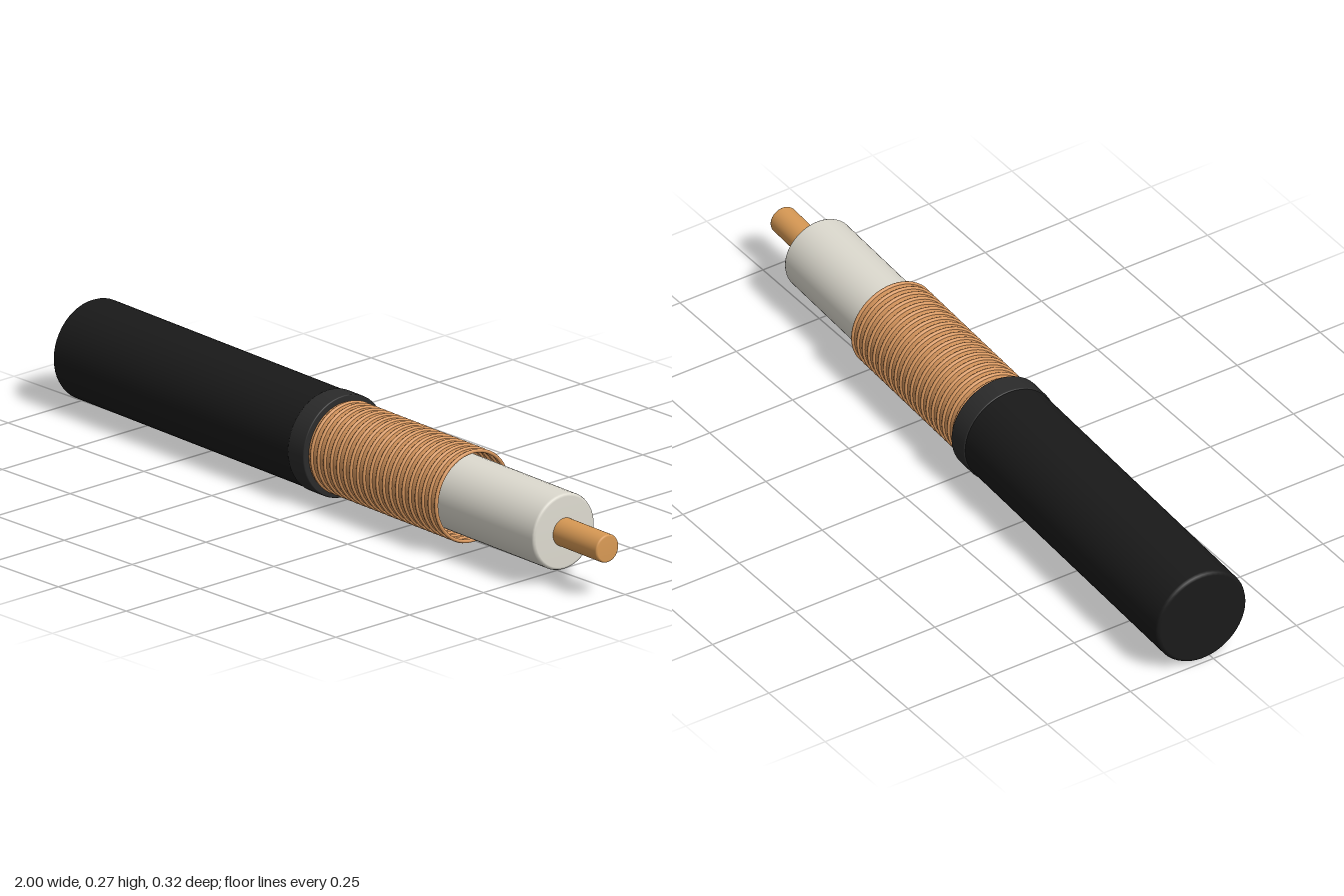
import * as THREE from 'three';

const SEG = 48;
const paint = (color) => new THREE.MeshStandardMaterial({ color, side: THREE.DoubleSide });

// Solid rod along x from a to b, with small bevelled rims
function rod(name, a, b, r, bevel, material) {
  const points = [
    [0, a], [r - bevel, a], [r - bevel * 0.3, a + bevel * 0.3], [r, a + bevel],
    [r, b - bevel], [r - bevel * 0.3, b - bevel * 0.3], [r - bevel, b], [0, b],
  ].map(([x, y]) => new THREE.Vector2(x, y));
  const geometry = new THREE.LatheGeometry(points, SEG);
  geometry.rotateZ(-Math.PI / 2);
  const mesh = new THREE.Mesh(geometry, material);
  mesh.name = name;
  return mesh;
}

export function createModel() {
  const model = new THREE.Group();
  model.name = 'strippedCable';
  const black = paint(0x1a1a1a);
  const rubber = paint(0x2b2b2b);
  const copper = paint(0xd9985f);
  const bright = paint(0xd99a55);
  const white = paint(0xdedbd0);

  const cable = new THREE.Group();
  cable.name = 'cable';
  model.add(cable);

  // Outer jacket with a collar at the stripped edge
  cable.add(rod('jacket', -0.994, -0.03, 0.131, 0.01, black));
  cable.add(rod('jacketCollar', -0.08, -0.018, 0.134, 0.003, rubber));

  // Shield: open sleeve wrapped in wire rings
  const shield = new THREE.Group();
  shield.name = 'shield';
  const sleeve = new THREE.Mesh(
    new THREE.CylinderGeometry(0.117, 0.117, 0.51, SEG, 1, true).rotateZ(-Math.PI / 2), copper);
  sleeve.name = 'shieldSleeve';
  sleeve.position.x = 0.225;
  shield.add(sleeve);
  const ringGeometry = new THREE.TorusGeometry(0.117, 0.005, 8, SEG).rotateY(Math.PI / 2);
  const rings = 20;
  for (let i = 0; i < rings; i++) {
    const ring = new THREE.Mesh(ringGeometry, copper);
    ring.name = 'shieldRing';
    ring.position.x = -0.005 + (0.48 * i) / (rings - 1);
    shield.add(ring);
  }
  cable.add(shield);

  // Insulator and centre conductor
  cable.add(rod('insulator', -0.03, 0.832, 0.1, 0.008, white));
  cable.add(rod('conductor', 0.8, 1.0, 0.037, 0.005, bright));

  // The cable lies at a slight angle
  cable.rotation.y = -0.0435;
  cable.position.set(0, 0.134, 0.0145);
  return model;
}
